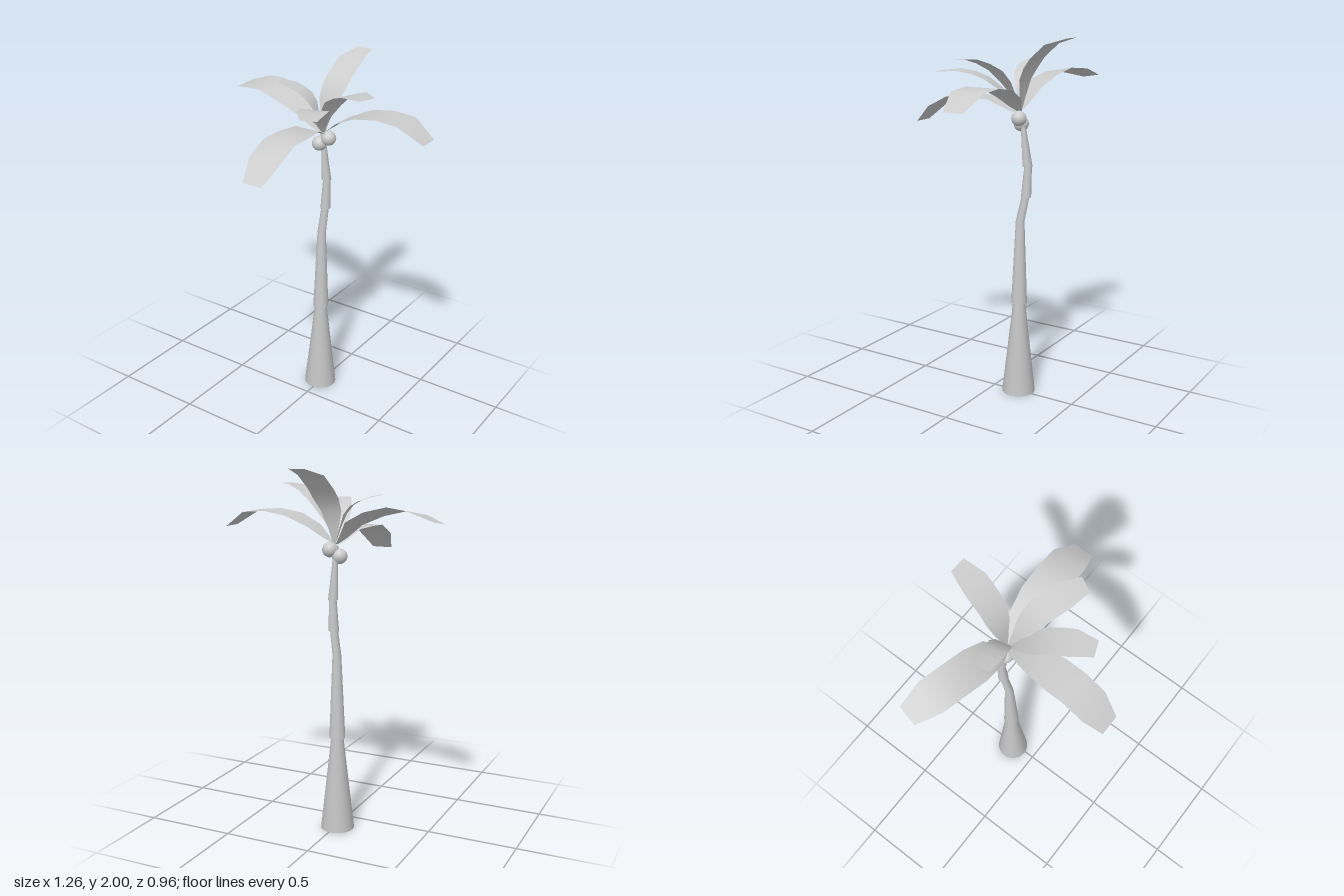
import * as THREE from 'three';

const material = new THREE.MeshStandardMaterial({ color: 0xcccccc, side: THREE.DoubleSide });

function addMesh(group, name, geometry) {
  const mesh = new THREE.Mesh(geometry, material);
  mesh.name = name;
  group.add(mesh);
  return mesh;
}

// Open trunk piece: rings [y, z, radius] listed from bottom to top
function trunkSection(rings) {
  const n = rings.length - 1;
  const g = new THREE.CylinderGeometry(1, 1, 1, 24, n, true);
  const p = g.attributes.position;
  for (let i = 0; i < p.count; i++) {
    const [y, z, r] = rings[Math.round((p.getY(i) + 0.5) * n)];
    p.setXYZ(i, -0.01 + p.getX(i) * r, y, z + p.getZ(i) * r);
  }
  return g;
}

// Thin leaf: a strip along the spine, widened along one side direction
const WIDTHS = [0.1, 0.4, 0.8, 1, 1, 1, 0.6];
function leafBlade(spine, side, halfWidth) {
  const dir = new THREE.Vector3(...side).normalize();
  const g = new THREE.PlaneGeometry(1, 1, 2, spine.length - 1);
  const p = g.attributes.position;
  const v = new THREE.Vector3();
  spine.forEach((point, row) => {
    for (let col = 0; col < 3; col++) {
      v.set(...point).addScaledVector(dir, (col - 1) * halfWidth * WIDTHS[row]);
      p.setXYZ(row * 3 + col, v.x, v.y, v.z);
    }
  });
  g.computeVertexNormals();
  return g;
}

export function createModel() {
  const model = new THREE.Group();
  model.name = 'palmTree';

  // Trunk: four tapering pieces, each flaring over the one below
  const trunk = new THREE.Group();
  trunk.name = 'trunk';
  model.add(trunk);
  [
    [[0, -0.153, 0.093], [0.54, -0.153, 0.033]],
    [[0.53, -0.153, 0.044], [1.0, -0.156, 0.024], [1.16, -0.193, 0.021]],
    [[1.14, -0.192, 0.028], [1.32, -0.204, 0.02]],
    [[1.31, -0.2, 0.027], [1.5, -0.175, 0.015], [1.59, -0.16, 0.012]],
  ].forEach((rings, i) => addMesh(trunk, `trunkSection${i + 1}`, trunkSection(rings)));

  // Coconuts under the crown
  [[0.025, 1.57, -0.165], [-0.025, 1.535, -0.15]].forEach((pos, i) => {
    addMesh(model, `coconut${i + 1}`, new THREE.SphereGeometry(0.041, 24, 16)).position.set(...pos);
  });

  // Crown: each leaf has a spine from base to tip, a side direction and a half width
  const crown = new THREE.Group();
  crown.name = 'crown';
  model.add(crown);
  const leaves = {
    frontLeaf: [[[0, 1.59, -0.16], [0, 1.61, -0.11], [0, 1.665, 0], [0, 1.67, 0.13],
      [0, 1.665, 0.255], [0, 1.605, 0.375], [0, 1.51, 0.48]], [1, 0, 0], 0.096],
    leftLeaf: [[[0, 1.6, -0.157], [0.05, 1.635, -0.157], [0.12, 1.69, -0.157], [0.24, 1.745, -0.157],
      [0.37, 1.765, -0.157], [0.5, 1.755, -0.157], [0.63, 1.67, -0.157]], [0, 0, -1], 0.096],
    rightLeaf: [[[-0.01, 1.6, -0.15], [-0.05, 1.64, -0.152], [-0.11, 1.71, -0.157], [-0.228, 1.765, -0.168],
      [-0.363, 1.797, -0.19], [-0.487, 1.785, -0.225], [-0.617, 1.745, -0.265]], [0.22, 0.17, -0.97], 0.094],
    backLeaf: [[[0, 1.6, -0.16], [0, 1.68, -0.172], [0.005, 1.775, -0.19], [0.015, 1.84, -0.23],
      [0.022, 1.89, -0.27], [0.034, 1.965, -0.36], [0.048, 2, -0.48]], [1, 0, 0.02], 0.075],
    smallRightLeaf: [[[0, 1.6, -0.15], [-0.03, 1.7, -0.14], [-0.05, 1.755, -0.135], [-0.085, 1.8, -0.13],
      [-0.125, 1.825, -0.122], [-0.175, 1.845, -0.115], [-0.248, 1.86, -0.1]], [0.21, 0, 0.98], 0.056],
    frontLeftLeaf: [[[0, 1.61, -0.15], [0.035, 1.7, -0.13], [0.075, 1.765, -0.11], [0.13, 1.825, -0.085],
      [0.2, 1.865, -0.052], [0.27, 1.89, -0.02], [0.378, 1.897, 0.03]], [0.48, 0.06, -0.88], 0.073],
    smallFrontLeaf: [[[0, 1.6, -0.15], [0.012, 1.66, -0.11], [0.03, 1.725, -0.05], [0.06, 1.775, 0.01],
      [0.095, 1.805, 0.075], [0.13, 1.82, 0.148], [0.175, 1.81, 0.248]], [0.93, 0, -0.37], 0.075],
  };
  for (const [name, spec] of Object.entries(leaves)) addMesh(crown, name, leafBlade(...spec));

  return model;
}
